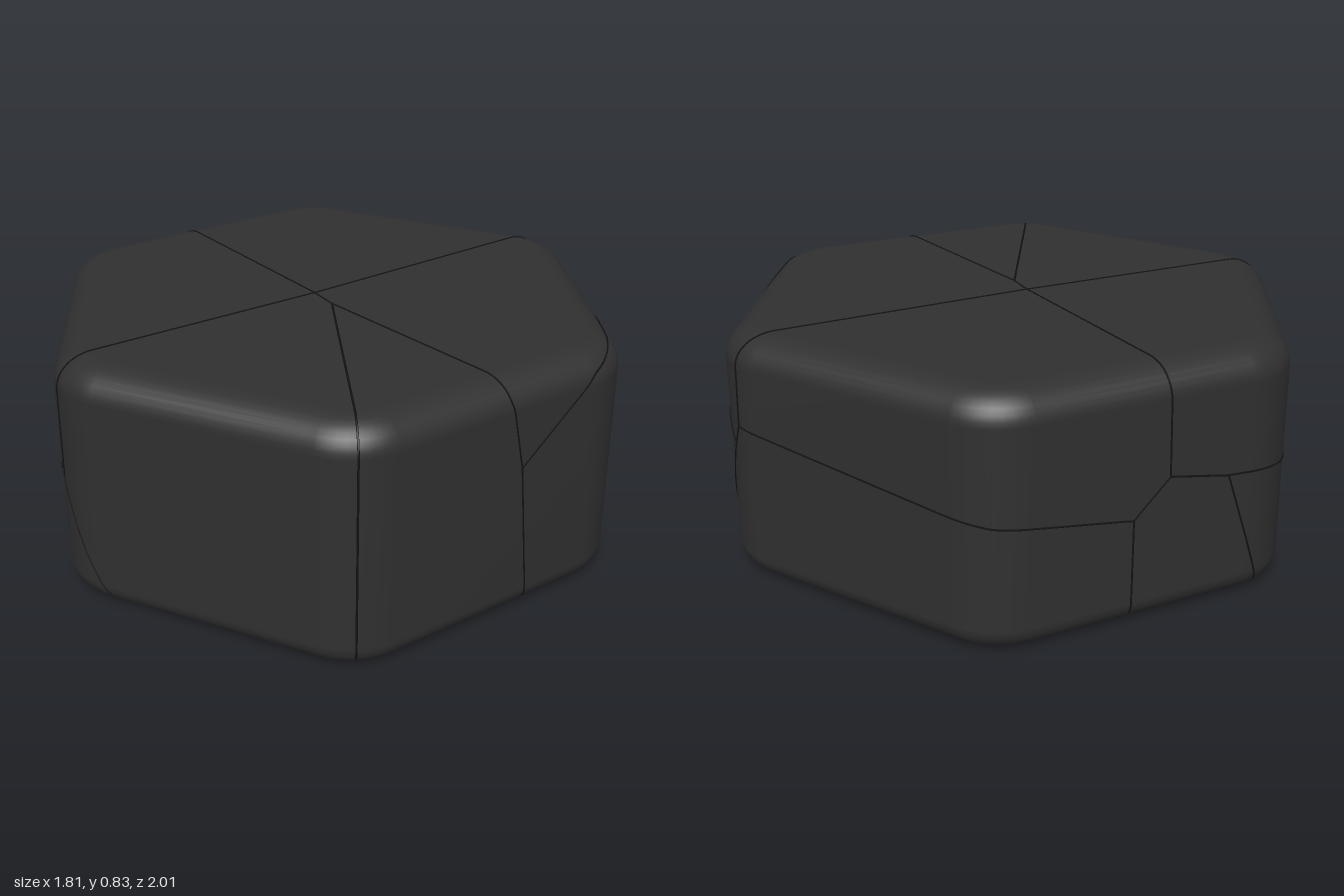
import * as THREE from 'three';

const shellMaterial = new THREE.MeshStandardMaterial({ color: 0x303030 });
shellMaterial.name = 'charcoal';
const seamMaterial = new THREE.MeshStandardMaterial({ color: 0x141414 });
seamMaterial.name = 'seam black';

const APOTHEM = 0.9, CORNER = 0.25, HEIGHT = 0.83, CEILING = 0.67;
const TOP_W = 0.12, TOP_H = 0.1, RIM = 0.08;
const INNER_APOTHEM = 0.81, INNER_CORNER = 0.08;

// One rounded hexagon outline, with a corner on the z axis
function ring(apothem, radius, y) {
  const points = [], steps = 8;
  const d = (apothem - radius) / Math.cos(Math.PI / 6);
  for (let k = 0; k < 6; k++) {
    const c = k * Math.PI / 3;
    for (let i = 0; i <= steps; i++) {
      const a = c + (i / steps - 0.5) * Math.PI / 3;
      points.push(Math.sin(c) * d + Math.sin(a) * radius, y, Math.cos(c) * d + Math.cos(a) * radius);
    }
  }
  return points;
}

// Skin joining successive hexagon outlines
function loft(name, profile) {
  const rings = profile.map(([a, r, y]) => ring(a, r, y));
  const n = rings[0].length / 3, index = [];
  for (let i = 0; i < rings.length - 1; i++) {
    for (let j = 0; j < n; j++) {
      const k = (j + 1) % n;
      const a = i * n + j, b = i * n + k, c = a + n, d = b + n;
      index.push(a, b, d, a, d, c);
    }
  }
  const geometry = new THREE.BufferGeometry();
  geometry.setAttribute('position', new THREE.Float32BufferAttribute(rings.flat(), 3));
  geometry.setIndex(index);
  geometry.computeVertexNormals();
  const mesh = new THREE.Mesh(geometry, shellMaterial);
  mesh.name = name;
  return mesh;
}

// Whether x, z lies in a rounded hexagon
function inHexagon(x, z, apothem, radius) {
  const angle = Math.atan2(x, z), sector = Math.PI / 3;
  const folded = angle - (Math.floor(angle / sector) + 0.5) * sector;
  const r = Math.hypot(x, z), flat = apothem - radius;
  const across = r * Math.cos(folded), along = Math.abs(r * Math.sin(folded));
  return Math.hypot(Math.max(across - flat, 0), Math.max(along - flat * Math.tan(sector / 2), 0)) <= radius
    || across <= flat;
}

function inOuter(p) {
  if (p.y > HEIGHT || p.y < 0) return false;
  const top = Math.max(0, (p.y - HEIGHT + TOP_H) / TOP_H);
  const low = Math.max(0, (RIM - p.y) / RIM);
  const inset = TOP_W * (1 - Math.sqrt(1 - top * top)) + RIM * (1 - Math.sqrt(1 - low * low));
  return inHexagon(p.x, p.z, APOTHEM - inset, CORNER - inset);
}

const inInner = (p) => p.y < CEILING && inHexagon(p.x, p.z, INNER_APOTHEM, INNER_CORNER);

// Push a point out from the middle until it lies on the skin
function project(point, inside) {
  const origin = new THREE.Vector3(0, 0.3, 0);
  const dir = point.clone().sub(origin);
  let lo = 0, hi = 2;
  for (let i = 0; i < 24; i++) {
    const mid = (lo + hi) / 2;
    if (inside(dir.clone().multiplyScalar(mid).add(origin))) lo = mid; else hi = mid;
  }
  return dir.multiplyScalar(lo).add(origin);
}

// Hairline seam following the skin through rough guide points
function seam(points, inside) {
  const guide = points.map((p) => new THREE.Vector3(...p));
  const path = [];
  for (let i = 0; i < guide.length - 1; i++) {
    const steps = Math.max(3, Math.ceil(guide[i].distanceTo(guide[i + 1]) / 0.025));
    for (let s = i ? 1 : 0; s <= steps; s++) {
      path.push(project(guide[i].clone().lerp(guide[i + 1], s / steps), inside));
    }
  }
  const curve = new THREE.CatmullRomCurve3(path);
  return new THREE.Mesh(new THREE.TubeGeometry(curve, path.length * 2, 0.0035, 4), seamMaterial);
}

const HUB = [-0.05, HEIGHT, 0], FORK = [0, HEIGHT, 0.1];
const SEAMS = [
  // front corner
  [HUB, FORK, [0, HEIGHT, 0.77], [0, 0.78, 0.97], [0, 0.5, 1], [0, 0.04, 0.98]],
  // front right face
  [FORK, [0.44, HEIGHT, 0.7], [0.48, 0.77, 0.75], [0.53, 0.53, 0.73], [0.57, 0.04, 0.7]],
  // band around the right side
  [[0.53, 0.53, 0.73], [0.78, 0.77, 0.58], [0.86, 0.81, 0.43], [0.87, 0.79, 0.25], [0.9, 0.73, 0],
    [0.9, 0.57, -0.38], [0.87, 0.46, -0.52], [0.86, 0.53, -0.55]],
  [[0.87, 0.46, -0.52], [0.9, 0.25, -0.43], [0.9, 0.04, -0.32]],
  // back right corner
  [HUB, [0.76, HEIGHT, -0.51], [0.84, 0.77, -0.55], [0.86, 0.53, -0.55]],
  // band around the back
  [[0.86, 0.53, -0.55], [0.15, 0.44, -0.95], [0, 0.42, -1], [-0.11, 0.41, -0.96],
    [-0.41, 0.36, -0.8], [-0.52, 0.48, -0.74]],
  [[-0.41, 0.36, -0.8], [-0.41, 0.04, -0.8]],
  // back left face
  [HUB, [-0.46, HEIGHT, -0.66], [-0.51, 0.77, -0.74], [-0.52, 0.48, -0.74]],
  // band around the left side
  [[-0.52, 0.48, -0.74], [-0.7, 0.44, -0.63], [-0.87, 0.42, -0.48], [-0.9, 0.4, -0.2], [-0.89, 0.42, 0.42]],
  [[-0.7, 0.44, -0.63], [-0.82, 0.04, -0.56]],
  [[-0.9, 0.4, -0.2], [-0.9, 0.04, -0.34]],
  // front left corner
  [HUB, [-0.8, HEIGHT, 0.43], [-0.88, 0.75, 0.47], [-0.89, 0.42, 0.46], [-0.84, 0.2, 0.55], [-0.76, 0.04, 0.6]],
];

export function createModel() {
  const model = new THREE.Group();
  model.name = 'hexagonalShell';

  // Outer skin: rounded lower rim, straight walls, softened top
  const outer = [[INNER_APOTHEM, INNER_CORNER, 0]];
  for (let i = 0; i <= 8; i++) {
    const t = i / 8 * Math.PI / 2, inset = RIM * (1 - Math.sin(t));
    outer.push([APOTHEM - inset, CORNER - inset, RIM * (1 - Math.cos(t))]);
  }
  for (let i = 0; i <= 8; i++) {
    const t = i / 8 * Math.PI / 2, inset = TOP_W * (1 - Math.cos(t));
    outer.push([APOTHEM - inset, CORNER - inset, HEIGHT - TOP_H * (1 - Math.sin(t))]);
  }
  outer.push([0, 0, HEIGHT]);
  model.add(loft('outerShell', outer));

  // Hollow underside
  model.add(loft('innerWalls', [[INNER_APOTHEM, INNER_CORNER, CEILING], [INNER_APOTHEM, INNER_CORNER, 0]]));
  model.add(loft('ceiling', [[0, 0, CEILING], [INNER_APOTHEM, INNER_CORNER, CEILING]]));

  // Fracture seams on both skins
  for (const [name, inside] of [['outerSeams', inOuter], ['innerSeams', inInner]]) {
    const group = new THREE.Group();
    group.name = name;
    SEAMS.forEach((points, i) => {
      const mesh = seam(points, inside);
      mesh.name = `seam${i + 1}`;
      group.add(mesh);
    });
    model.add(group);
  }
  return model;
}
